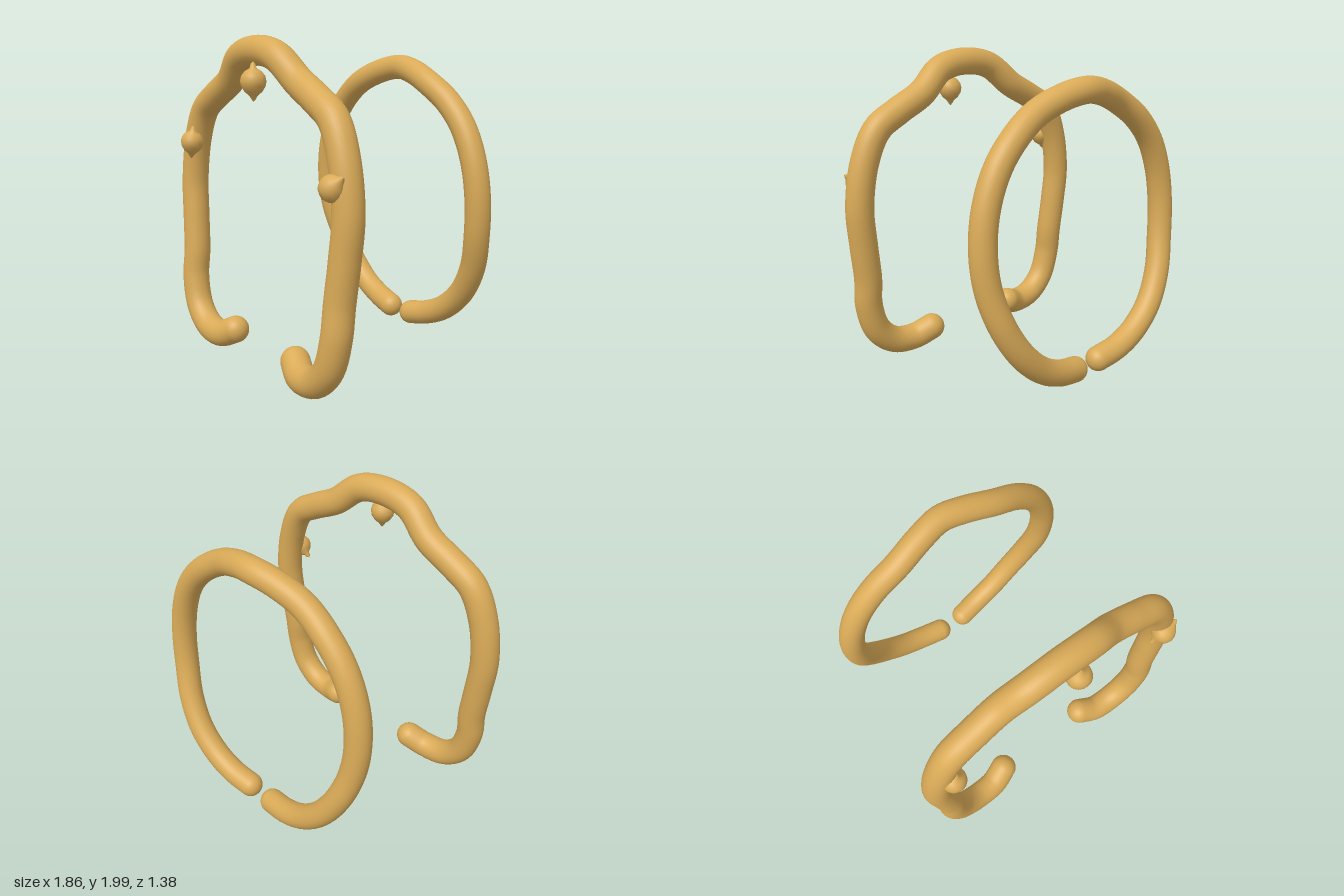
import * as THREE from 'three';

const gold = new THREE.MeshStandardMaterial({ color: 0xd9aa57 });
gold.name = 'warm gold';

// Half paths run from the crown (x = 0) down the +x side to the open end.
const frontHalf = [
  [0, 1.912, 0.545], [0.2, 1.875, 0.54], [0.37, 1.74, 0.512], [0.55, 1.645, 0.515],
  [0.7, 1.55, 0.52], [0.795, 1.36, 0.528], [0.843, 1.08, 0.535], [0.825, 0.83, 0.545],
  [0.8, 0.6, 0.558], [0.795, 0.42, 0.575], [0.735, 0.23, 0.582], [0.61, 0.12, 0.58],
  [0.46, 0.1, 0.57], [0.345, 0.148, 0.53],
];
const backHalf = [
  [0, 1.822, -0.535], [0.15, 1.797, -0.515], [0.33, 1.725, -0.488], [0.5, 1.61, -0.495],
  [0.63, 1.46, -0.5], [0.715, 1.26, -0.505], [0.747, 1.04, -0.515], [0.73, 0.82, -0.535],
  [0.665, 0.6, -0.578], [0.55, 0.41, -0.608], [0.4, 0.272, -0.612], [0.25, 0.2, -0.605],
  [0.105, 0.166, -0.587],
];

// Mirrored tube with a rounded cap at each open end
function makeHoop(name, half, radius) {
  const group = new THREE.Group();
  group.name = name;
  const right = half.map(([x, y, z]) => new THREE.Vector3(x, y, z));
  const left = right.slice(1).reverse().map((p) => new THREE.Vector3(-p.x, p.y, p.z));
  const curve = new THREE.CatmullRomCurve3([...left, ...right], false, 'centripetal');
  const tube = new THREE.Mesh(new THREE.TubeGeometry(curve, 180, radius, 28, false), gold);
  tube.name = name + 'Tube';
  group.add(tube);
  for (const t of [0, 1]) {
    const cap = new THREE.Mesh(new THREE.SphereGeometry(radius, 28, 18), gold);
    cap.name = name + 'EndCap';
    cap.position.copy(curve.getPoint(t));
    group.add(cap);
  }
  return group;
}

// Round bud with a small pointed tip below and a short neck above
function makeBud(name, position, tilt) {
  const profile = [
    [0, -0.112], [0.012, -0.098], [0.024, -0.078], [0.05, -0.056], [0.069, -0.026],
    [0.075, 0.004], [0.068, 0.034], [0.048, 0.06], [0.02, 0.076], [0.014, 0.1], [0, 0.115],
  ].map(([r, y]) => new THREE.Vector2(r, y));
  const bud = new THREE.Mesh(new THREE.LatheGeometry(profile, 28), gold);
  bud.name = name;
  bud.position.set(...position);
  bud.rotation.z = tilt;
  return bud;
}

export function createModel() {
  const model = new THREE.Group();
  model.name = 'pairOfHoops';
  model.add(
    makeHoop('frontHoop', frontHalf, 0.087),
    makeHoop('backHoop', backHalf, 0.078),
    makeBud('crownBud', [0.07, 1.735, 0.615], 0),
    makeBud('rightBud', [-0.748, 1.335, 0.598], -0.2),
    makeBud('leftBud', [0.805, 1.218, 0.605], 2.2),
  );
  return model;
}
